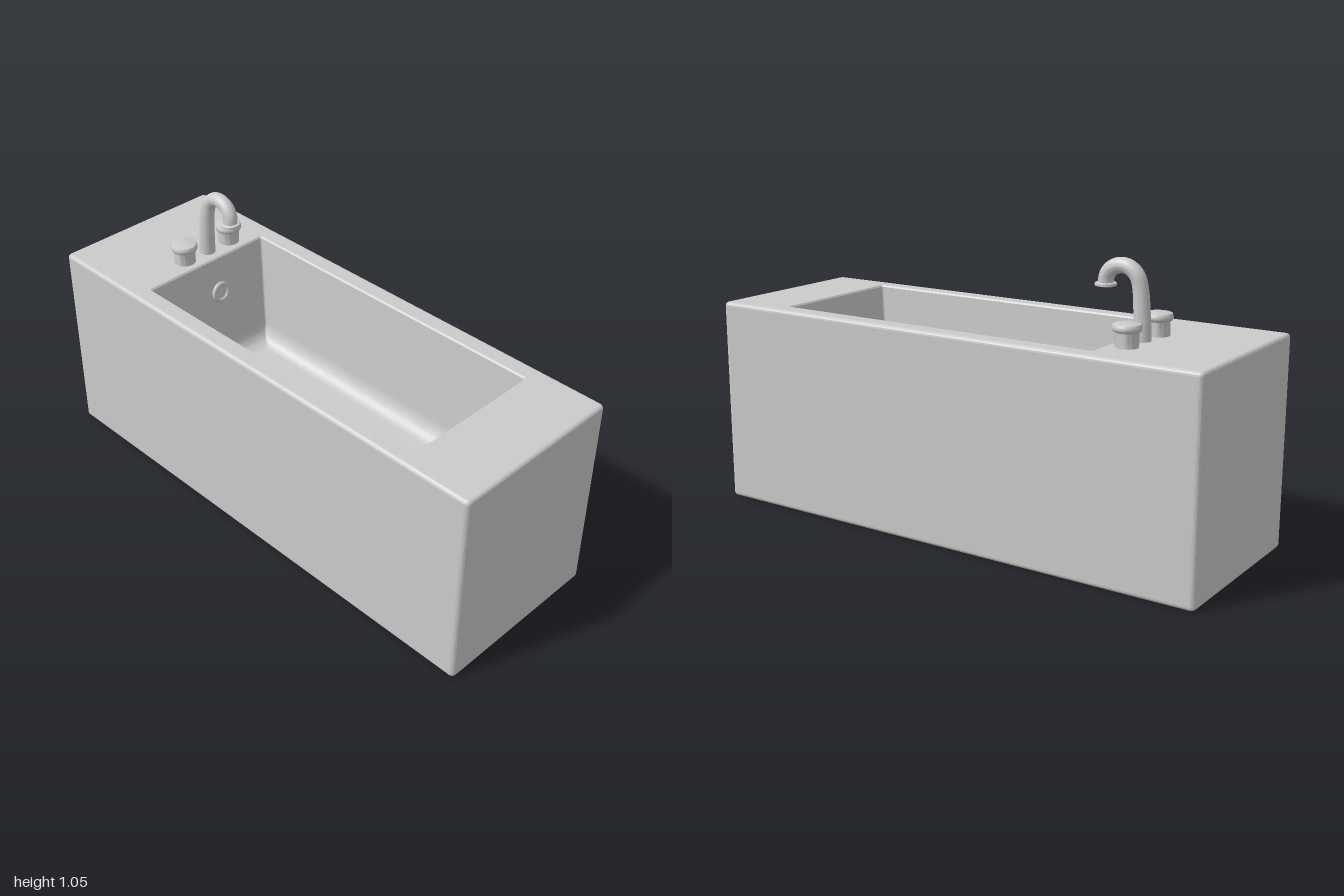
import * as THREE from 'three';
import { toCreasedNormals } from 'three/addons/utils/BufferGeometryUtils.js';

const material = new THREE.MeshStandardMaterial({ color: 0xcccccc });
const X = 0.345, H = 0.775, BEVEL = 0.015;
const DECK_Z = -0.642, SPOUT_X = 0.054;

function mesh(name, geometry, x = 0, y = 0, z = 0) {
  const m = new THREE.Mesh(geometry, material);
  m.name = name;
  m.position.set(x, y, z);
  return m;
}

// Horizontal rounded rectangle, counter-clockwise from above
function ring(y, hx, zBack, zFront, r) {
  const pts = [], seg = 4;
  const corners = [[hx, zBack], [-hx, zBack], [-hx, zFront], [hx, zFront]];
  corners.forEach(([cx, cz], k) => {
    const sx = k === 0 || k === 3 ? 1 : -1, sz = k < 2 ? -1 : 1;
    for (let i = 0; i <= seg; i++) {
      const a = (k + i / seg) * Math.PI / 2;
      pts.push(new THREE.Vector3(cx - sx * r + r * Math.cos(a), y, cz - sz * r - r * Math.sin(a)));
    }
  });
  return pts;
}

// Skin a stack of rings, dropping collapsed triangles
function loft(rings) {
  const out = [];
  const tri = (a, b, c) => {
    if (a.distanceTo(b) > 1e-6 && b.distanceTo(c) > 1e-6 && c.distanceTo(a) > 1e-6) {
      for (const p of [a, b, c]) out.push(p.x, p.y, p.z);
    }
  };
  for (let j = 0; j < rings.length - 1; j++) {
    const lo = rings[j], hi = rings[j + 1];
    for (let i = 0; i < lo.length; i++) {
      const n = (i + 1) % lo.length;
      tri(lo[i], lo[n], hi[n]);
      tri(lo[i], hi[n], hi[i]);
    }
  }
  const g = new THREE.BufferGeometry();
  g.setAttribute('position', new THREE.Float32BufferAttribute(out, 3));
  return toCreasedNormals(g, 0.15);
}

function tubGeometry() {
  const rings = [ring(0, 0, 0, 0, 0)];
  // Outer block with softened bottom and top edges
  const outer = (y, inset) =>
    rings.push(ring(y, X - inset, -1 + inset, 1 - inset, BEVEL - inset + 0.003));
  const steps = 4;
  for (let i = 0; i <= steps; i++) {
    const a = i / steps * Math.PI / 2;
    outer(BEVEL * (1 - Math.sin(a + Math.PI / 2 - Math.PI / 2)), BEVEL * (1 - Math.cos(a)));
  }
  // The bottom edge was swept wall-first, so reverse it to run floor-first
  rings.splice(1, steps + 1, ...rings.slice(1).reverse());
  for (let i = 0; i <= steps; i++) {
    const a = i / steps * Math.PI / 2;
    outer(H - BEVEL * (1 - Math.sin(a)), BEVEL * (1 - Math.cos(a)));
  }
  // Basin: rim, tapered walls, rounded foot, floor
  const basin = (y, ix, iz) => rings.push(ring(y, 0.277 - ix, -0.58 + iz, 0.73 - iz, 0.008));
  basin(H, 0, 0);
  basin(H - 0.006, 0.005, 0.005);
  const foot = 10;
  for (let i = 0; i <= foot; i++) {
    const a = i / foot * Math.PI / 2, s = 1 - Math.cos(a);
    basin(0.40 - 0.08 * Math.sin(a), 0.018 + 0.06 * s, 0.035 + 0.075 * s);
  }
  rings.push(ring(0.32, 0, 0.075, 0.075, 0));
  return loft(rings);
}

function lathe(profile) {
  const g = new THREE.LatheGeometry(profile.map(([r, y]) => new THREE.Vector2(r, y)), 32);
  return toCreasedNormals(g, 0.6);
}

export function createModel() {
  const model = new THREE.Group();
  model.name = 'bathtub';
  model.add(mesh('tub', tubGeometry()));

  // Tap handles: stem with a rounded cap
  const knob = lathe([[0.04, -0.01], [0.04, 0.05], [0.046, 0.053], [0.049, 0.058], [0.05, 0.064],
    [0.049, 0.072], [0.046, 0.077], [0.041, 0.079], [0, 0.079]]);
  for (const [name, dx] of [['rightHandle', -0.109], ['leftHandle', 0.111]]) {
    model.add(mesh(name, knob, SPOUT_X + dx, H, DECK_Z));
  }

  // Gooseneck spout, narrowing slightly towards the arch
  const faucet = new THREE.Group();
  faucet.name = 'faucet';
  const path = new THREE.CatmullRomCurve3([
    [0, 0.76, -0.640], [0, 0.86, -0.636], [0.001, 0.95, -0.628], [0.004, 0.99, -0.617],
    [0.006, 1.015, -0.59], [0.006, 1.021, -0.555], [0.005, 1.007, -0.521],
    [0.002, 0.98, -0.501], [0, 0.947, -0.497],
  ].map(([x, y, z]) => new THREE.Vector3(SPOUT_X + x, y, z)));
  const SEG = 56, SIDES = 20;
  const neck = new THREE.TubeGeometry(path, SEG, 0.031, SIDES, false);
  const pos = neck.attributes.position, p = new THREE.Vector3();
  for (let i = 0; i <= SEG; i++) {
    const c = path.getPointAt(i / SEG);
    const scale = 1 - 0.13 * Math.min(1, i / SEG * 2);
    for (let k = 0; k <= SIDES; k++) {
      const n = i * (SIDES + 1) + k;
      p.fromBufferAttribute(pos, n).sub(c).multiplyScalar(scale).add(c);
      pos.setXYZ(n, p.x, p.y, p.z);
    }
  }
  neck.computeVertexNormals();
  faucet.add(mesh('spout', neck));
  const collar = lathe([[0, 0], [0.033, 0], [0.037, 0.002], [0.038, 0.006], [0.037, 0.010],
    [0.033, 0.013], [0.026, 0.013]]);
  faucet.add(mesh('spoutCollar', collar, SPOUT_X, 0.945, -0.497));
  model.add(faucet);

  // Overflow fitting on the basin wall below the spout
  const overflow = new THREE.Group();
  overflow.name = 'overflow';
  overflow.add(mesh('overflowRing', new THREE.TorusGeometry(0.034, 0.008, 10, 32)));
  const plate = new THREE.CylinderGeometry(0.034, 0.034, 0.012, 32).rotateX(Math.PI / 2);
  overflow.add(mesh('overflowPlate', plate, 0, 0, -0.004));
  overflow.position.set(0.045, 0.63, -0.56);
  overflow.rotation.x = -0.08;
  model.add(overflow);
  return model;
}
